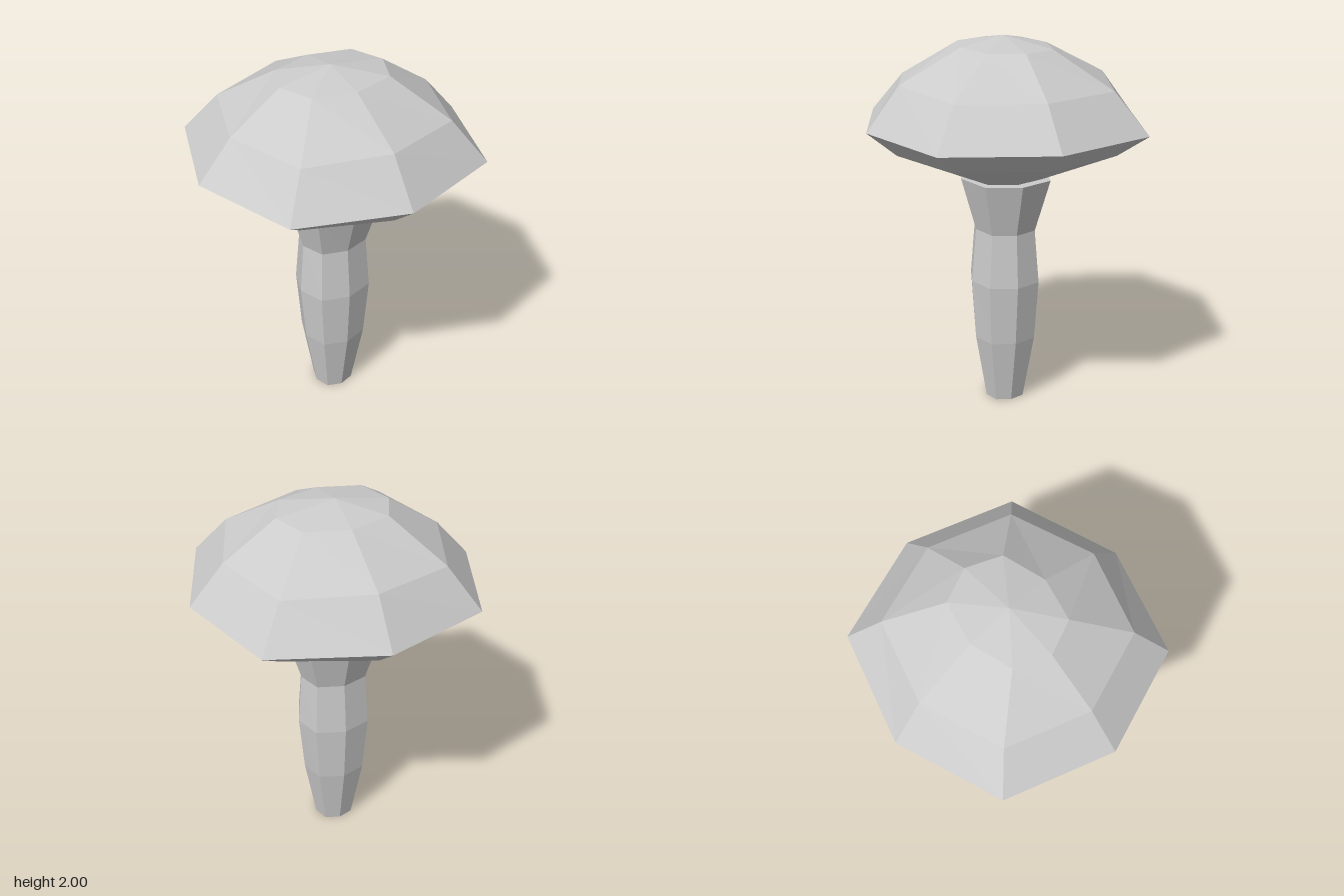
import * as THREE from 'three';

// Ratio of a corner's x and z to the half-widths of its eight-sided ring
const CORNER = 0.75;
const LEAN = -0.01; // slight sideways offset of the front and back points

// Eight points of one ring: half-width, half-depth, height, height at front and back
function ring([rx, rz, y, yEnds = y]) {
  const pts = [];
  for (let i = 0; i < 8; i++) {
    const a = (i * Math.PI) / 4;
    const k = i % 2 ? CORNER * Math.SQRT2 : 1;
    const end = i % 4 === 2;
    pts.push(new THREE.Vector3(
      Math.cos(a) * rx * k + (end ? LEAN * rx / 0.75 : 0),
      end ? yEnds : y,
      Math.sin(a) * rz * k
    ));
  }
  return pts;
}

// Faceted skin through rings listed from bottom to top, closed by a point at each end
function facetedBody(name, sections, bottom, top) {
  const rings = sections.map(ring);
  const verts = [];
  const tri = (...corners) => corners.forEach((p) => verts.push(p.x, p.y, p.z));
  const last = rings[rings.length - 1];
  for (let i = 0; i < 8; i++) {
    const j = (i + 1) % 8;
    tri(bottom, rings[0][i], rings[0][j]);
    for (let r = 0; r < rings.length - 1; r++) {
      const lo = rings[r], hi = rings[r + 1];
      tri(lo[i], hi[i], hi[j]);
      tri(lo[i], hi[j], lo[j]);
    }
    tri(last[i], top, last[j]);
  }
  const geometry = new THREE.BufferGeometry();
  geometry.setAttribute('position', new THREE.Float32BufferAttribute(verts, 3));
  geometry.computeVertexNormals();
  const mesh = new THREE.Mesh(
    geometry,
    new THREE.MeshStandardMaterial({ color: 0xcccccc, flatShading: true })
  );
  mesh.name = name;
  return mesh;
}

export function createModel() {
  const group = new THREE.Group();
  group.name = 'mushroom';

  // Stem: narrow foot, swollen middle, flared neck
  group.add(facetedBody('stem', [
    [0.105, 0.105, 0],
    [0.17, 0.165, 0.36],
    [0.2, 0.185, 0.69],
    [0.18, 0.16, 0.98],
    [0.265, 0.24, 1.265],
  ], new THREE.Vector3(0, 0, 0), new THREE.Vector3(0, 1.265, 0)));

  // Cap: sloping underside, sharp rim, domed top
  group.add(facetedBody('cap', [
    [0.2, 0.19, 1.262],
    [0.59, 0.58, 1.435, 1.42],
    [0.75, 0.735, 1.55],
    [0.57, 0.56, 1.76, 1.78],
    [0.295, 0.235, 1.95],
  ], new THREE.Vector3(0, 1.262, 0), new THREE.Vector3(-0.01, 2, 0)));

  return group;
}
